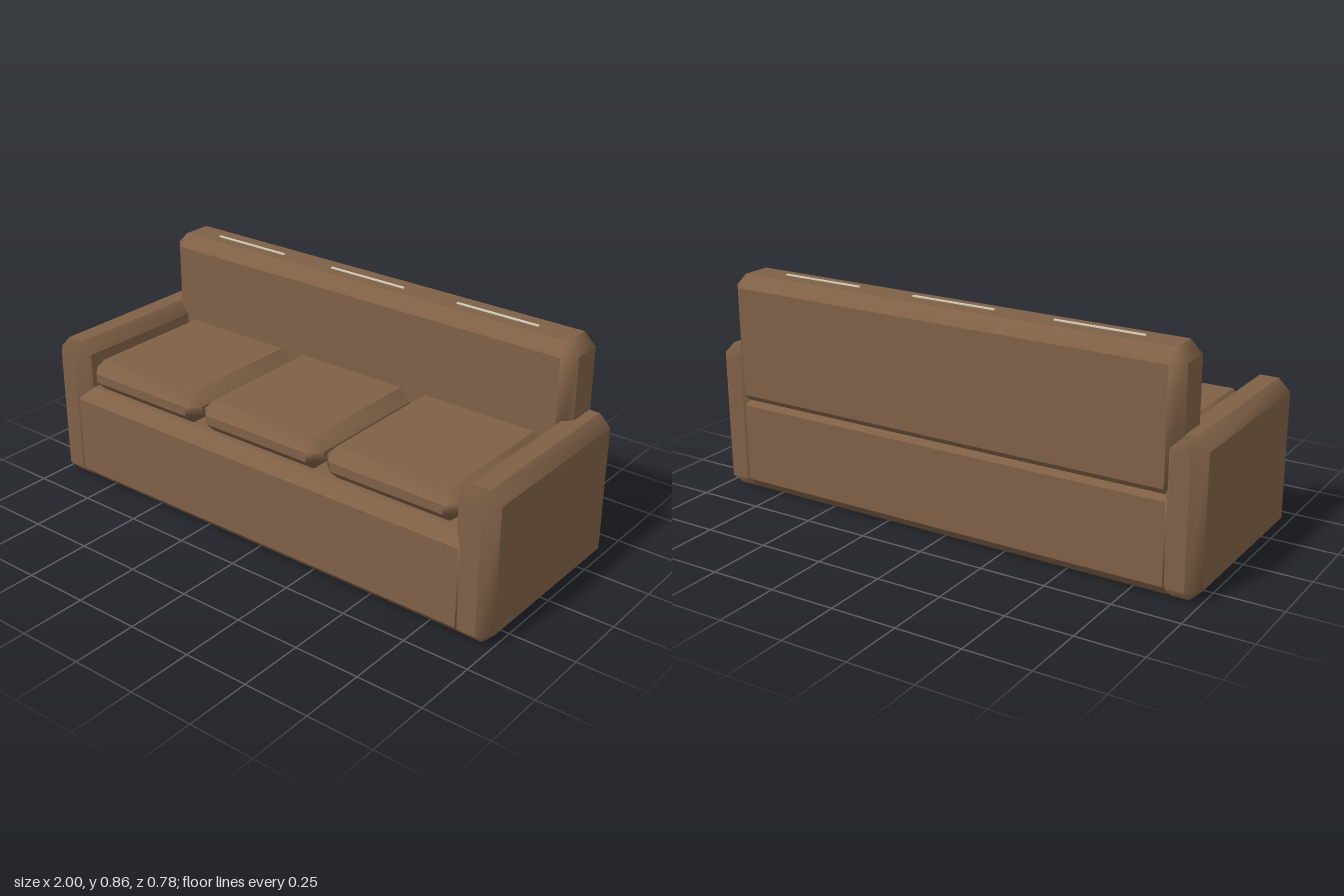
import * as THREE from 'three';
import { mergeGeometries } from 'three/addons/utils/BufferGeometryUtils.js';

const BEVEL = 0.045;

// Box with chamfered edges: flat main faces, softly shaded chamfers
function chamferBox(w, h, d, b = BEVEL) {
  const half = [w / 2, h / 2, d / 2];
  // Corner point lying on the face of the given axis
  const point = (axis, s) =>
    new THREE.Vector3(...half.map((v, i) => s[i] * (i === axis ? v : v - b)));
  const signs = (map) => [0, 1, 2].map((i) => map[i]);
  const id = (axis, s) => axis * 8 + (s[0] > 0 ? 4 : 0) + (s[1] > 0 ? 2 : 0) + (s[2] > 0 ? 1 : 0);

  const points = [];
  for (let a = 0; a < 3; a++)
    for (const x of [-1, 1]) for (const y of [-1, 1]) for (const z of [-1, 1])
      points[id(a, [x, y, z])] = point(a, [x, y, z]);

  // Add a triangle, turned so that it faces outwards
  const addTri = (list, i, j, k) => {
    const [p, q, r] = [points[i], points[j], points[k]];
    const n = q.clone().sub(p).cross(r.clone().sub(p));
    if (n.dot(p) > 0) list.push(i, j, k);
    else list.push(i, k, j);
  };
  const addQuad = (list, i, j, k, l) => {
    addTri(list, i, j, k);
    addTri(list, i, k, l);
  };

  const faces = [];
  const chamfers = [];
  for (let a = 0; a < 3; a++) {
    const u = (a + 1) % 3;
    const v = (a + 2) % 3;
    for (const s of [-1, 1]) {
      const c = (su, sv) => id(a, signs({ [a]: s, [u]: su, [v]: sv }));
      addQuad(faces, c(-1, -1), c(1, -1), c(1, 1), c(-1, 1));
      // Chamfers between the faces of axes a and u, running along v
      for (const t of [-1, 1]) {
        const e = (axis, sv) => id(axis, signs({ [a]: s, [u]: t, [v]: sv }));
        addQuad(chamfers, e(a, -1), e(a, 1), e(u, 1), e(u, -1));
      }
    }
  }
  // Corner triangles
  for (const x of [-1, 1]) for (const y of [-1, 1]) for (const z of [-1, 1])
    addTri(chamfers, id(0, [x, y, z]), id(1, [x, y, z]), id(2, [x, y, z]));

  const build = (list, smooth) => {
    const geo = new THREE.BufferGeometry().setFromPoints(points);
    geo.setIndex(list);
    const out = smooth ? geo : geo.toNonIndexed();
    out.computeVertexNormals();
    return smooth ? out.toNonIndexed() : out;
  };
  return mergeGeometries([build(faces, false), build(chamfers, true)]);
}

export function createModel() {
  const sofa = new THREE.Group();
  sofa.name = 'sofa';

  const upholstery = new THREE.MeshStandardMaterial({ color: 0x7f6046 });
  upholstery.name = 'brown upholstery';
  const trim = new THREE.MeshStandardMaterial({ color: 0xd6d2bd });
  trim.name = 'pale trim';

  // Place a chamfered box by its minimum and maximum on each axis
  const addPart = (name, [x0, x1], [y0, y1], [z0, z1]) => {
    const mesh = new THREE.Mesh(chamferBox(x1 - x0, y1 - y0, z1 - z0), upholstery);
    mesh.position.set((x0 + x1) / 2, (y0 + y1) / 2, (z0 + z1) / 2);
    mesh.name = name;
    sofa.add(mesh);
  };

  addPart('base', [-0.92, 0.92], [0, 0.39], [-0.385, 0.39]);
  addPart('backrest', [-0.915, 0.915], [0.345, 0.85], [-0.392, -0.19]);
  addPart('leftArm', [0.84, 1], [0, 0.57], [-0.387, 0.392]);
  addPart('rightArm', [-1, -0.84], [0, 0.57], [-0.387, 0.392]);

  // Three seat cushions, each with a seam strip above it on the backrest
  [['right', -0.567], ['middle', -0.002], ['left', 0.563]].forEach(([side, x]) => {
    addPart(`${side}SeatCushion`, [x - 0.275, x + 0.275], [0.385, 0.51], [-0.23, 0.365]);

    const strip = new THREE.Mesh(new THREE.BoxGeometry(0.335, 0.008, 0.008), trim);
    strip.position.set(x - 0.003, 0.851, -0.284);
    strip.name = `${side}SeamStrip`;
    sofa.add(strip);
  });

  return sofa;
}
